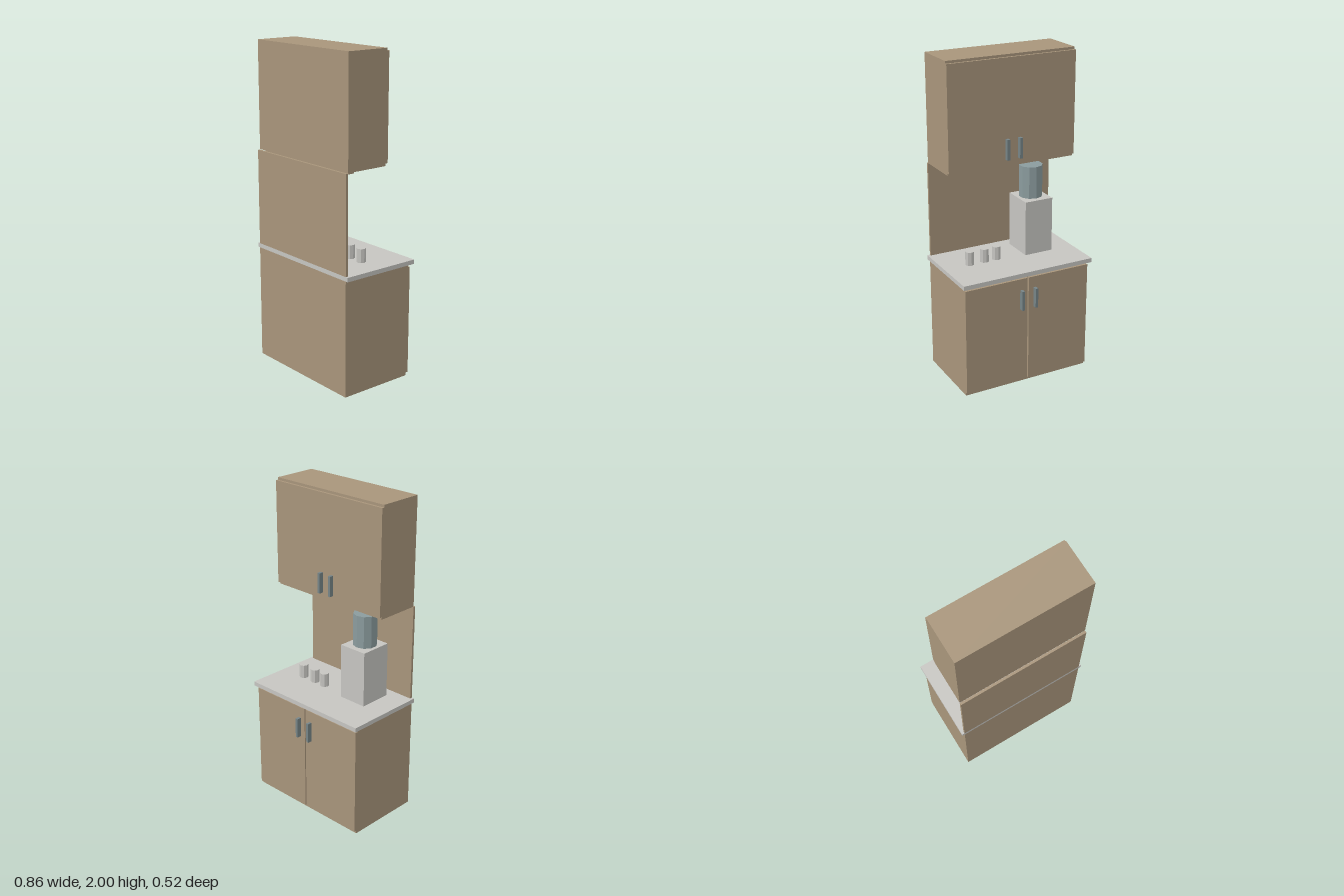
import * as THREE from 'three';

const paint = (name, color) => {
  const m = new THREE.MeshStandardMaterial({ color });
  m.name = name;
  return m;
};

export function createModel() {
  const wood = paint('wood', 0xa8957b);
  const stone = paint('light grey', 0xc6c5c1);
  const steel = paint('blue grey steel', 0x8b9c9e);
  const handleSteel = paint('handle steel', 0x768487);
  steel.flatShading = stone.flatShading = true;

  const group = new THREE.Group();
  const add = (name, geometry, material, x, y, z) => {
    const mesh = new THREE.Mesh(geometry, material);
    mesh.name = name;
    mesh.position.set(x, y, z);
    group.add(mesh);
  };
  // box given by its limits on each axis
  const box = (name, material, [x0, x1], [y0, y1], [z0, z1]) =>
    add(name, new THREE.BoxGeometry(x1 - x0, y1 - y0, z1 - z0), material,
      (x0 + x1) / 2, (y0 + y1) / 2, (z0 + z1) / 2);
  // upright prism standing on y0
  const prism = (name, material, r, sides, x, [y0, y1], z) =>
    add(name, new THREE.CylinderGeometry(r, r, y1 - y0, sides), material, x, (y0 + y1) / 2, z);

  // base cabinet with its worktop and splashback
  box('baseCabinet', wood, [-0.415, 0.415], [0, 0.714], [-0.22, 0.262]);
  box('worktop', stone, [-0.432, 0.432], [0.714, 0.741], [-0.254, 0.262]);
  box('splashback', wood, [-0.415, 0.415], [0.741, 1.335], [0.247, 0.262]);

  // wall cabinet with one wide front and a strip below
  box('wallCabinet', wood, [-0.415, 0.415], [1.338, 2], [-0.03, 0.247]);
  box('wallCabinetFront', wood, [-0.415, 0.415], [1.353, 1.985], [-0.045, -0.03]);
  box('underCabinetStrip', wood, [-0.39, 0.39], [1.323, 1.338], [0.184, 0.224]);

  // paired base doors and handles
  for (const s of [-1, 1]) {
    const span = (a, b) => (s > 0 ? [a, b] : [-b, -a]);
    box('baseDoor', wood, span(0.004, 0.415), [0.018, 0.696], [-0.235, -0.22]);
    box('baseHandle', handleSteel, span(0.037, 0.054), [0.5, 0.625], [-0.263, -0.235]);
    box('wallHandle', handleSteel, span(0.033, 0.05), [1.385, 1.51], [-0.071, -0.045]);
  }

  // appliance with a round container on top
  box('applianceBody', stone, [-0.283, -0.098], [0.741, 1.085], [-0.025, 0.18]);
  prism('applianceContainer', steel, 0.073, 10, -0.191, [1.085, 1.285], 0.082);

  // jars on the worktop
  for (const x of [0.263, 0.164, 0.083])
    prism('jar', stone, 0.028, 8, x, [0.741, 0.826], 0.016);

  return group;
}
